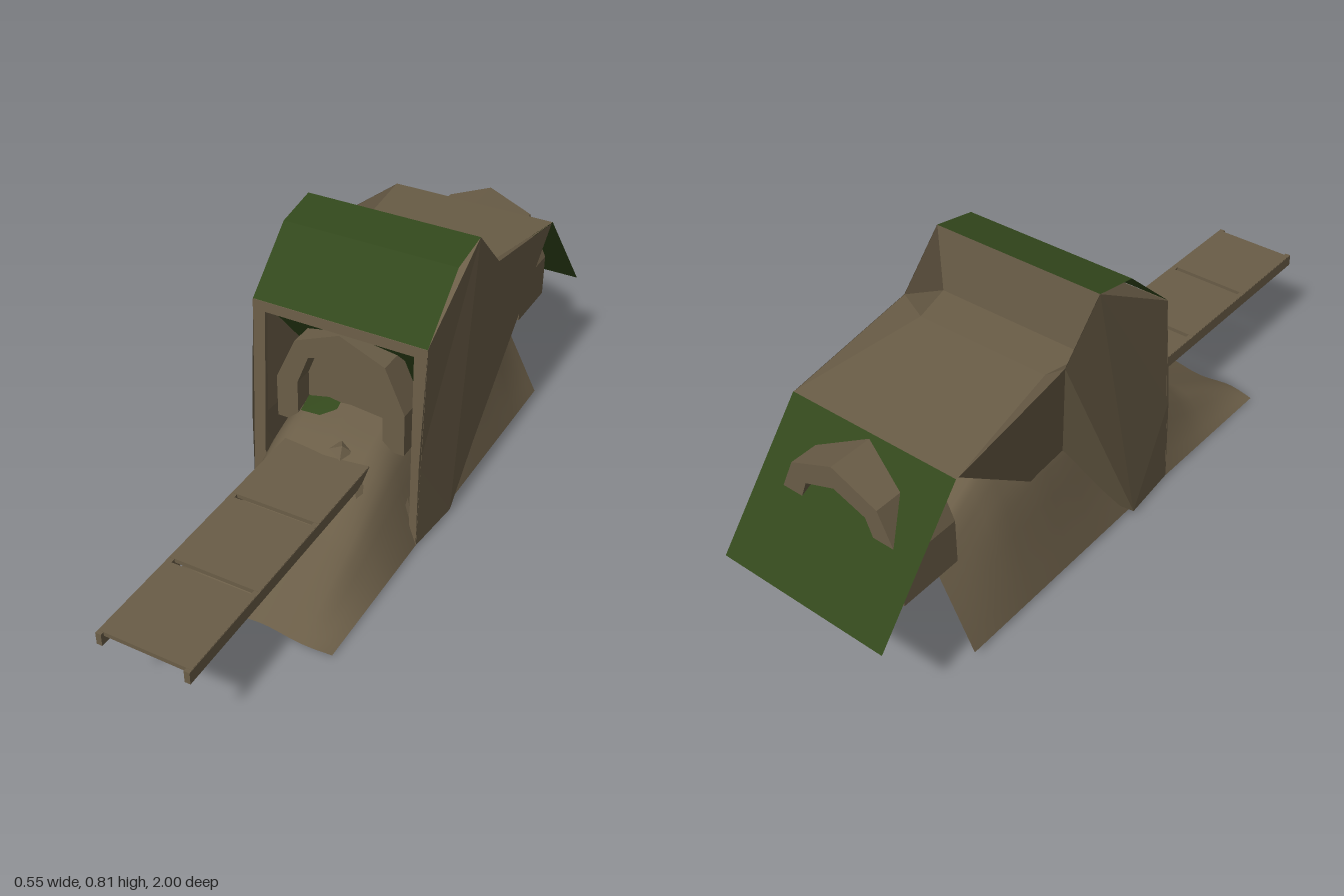
import * as THREE from 'three';

const brown = new THREE.MeshStandardMaterial({ color: 0x6a5d47, side: THREE.DoubleSide });
brown.name = 'earthBrown';
const green = new THREE.MeshStandardMaterial({ color: 0x32471c, side: THREE.DoubleSide });
green.name = 'canvasGreen';

const CX = 0.005; // the shelter sits slightly off the centre line

// Piecewise linear lookup through [input, output] pairs
function lookup(table, t) {
  for (let i = 1; i < table.length; i++) {
    const [a, va] = table[i - 1], [b, vb] = table[i];
    if (t <= b) return va + (vb - va) * Math.max(0, (t - a) / (b - a));
  }
  return table[table.length - 1][1];
}

function flatMesh(name, points, faces, mat) {
  const pos = faces.flat().flatMap((i) => points[i]);
  const geo = new THREE.BufferGeometry();
  geo.setAttribute('position', new THREE.Float32BufferAttribute(pos, 3));
  geo.computeVertexNormals();
  const m = new THREE.Mesh(geo, mat);
  m.name = name;
  return m;
}

// Folded sheet running through rows of [z, y, halfWidth], front to back
function sheet(name, rows, mat) {
  const pts = [], faces = [];
  rows.forEach(([z, y, w], i) => {
    pts.push([CX - w, y, z], [CX + w, y, z]);
    if (i) {
      const a = 2 * i - 2;
      faces.push([a, a + 1, a + 2], [a + 1, a + 3, a + 2]);
    }
  });
  return flatMesh(name, pts, faces, mat);
}

function box(name, x0, x1, y0, y1, z0, z1) {
  const m = new THREE.Mesh(new THREE.BoxGeometry(x1 - x0, y1 - y0, z1 - z0), brown);
  m.position.set((x0 + x1) / 2, (y0 + y1) / 2, (z0 + z1) / 2);
  m.name = name;
  return m;
}

// Earth mound: a height field with steep skirts, straighter sided at the rear
function mound() {
  const crest = [[-0.7, 0.27], [-0.5, 0.4], [-0.25, 0.39], [0, 0.33], [0.13, 0.285],
    [0.25, 0.2], [0.33, 0.14], [0.45, 0.08], [0.59, 0.01]];
  const section = [[0, 1], [0.5, 0.96], [0.68, 0.82], [0.76, 0.6], [0.87, 0.3], [1, 0]];
  const rearSection = [[0, 1], [0.48, 0.95], [1, 0]];
  const geo = new THREE.PlaneGeometry(0.515, 1.29, 28, 40).rotateX(-Math.PI / 2);
  geo.translate(CX, 0, -0.055);
  const p = geo.attributes.position;
  for (let i = 0; i < p.count; i++) {
    const x = p.getX(i), z = p.getZ(i);
    const front = Math.max(0, (z - 0.1) / 0.49);
    const rear = THREE.MathUtils.clamp((-z - 0.35) / 0.3, 0, 1);
    const u = Math.min(1, Math.abs(x - CX) / 0.2575);
    const f = THREE.MathUtils.lerp(lookup(section, u), lookup(rearSection, u), rear);
    const ripple = 0.007 * front * Math.sin(x * 26 + 0.2);
    p.setY(i, 0.013 + lookup(crest, z) * f + ripple - 0.01 * front);
  }
  geo.computeVertexNormals();
  const m = new THREE.Mesh(geo, brown);
  m.name = 'earthMound';
  return m;
}

// Side wall in (z, y, halfWidth), flaring at the ground; the -x side tucks in behind
function sideWall(s) {
  const outline = [[0.095, 0.63, 0.257], [0.125, 0.28, 0.257], [0.13, 0.012, 0.257],
    [-0.05, 0.015, 0.274], [-0.2, 0.15, s < 0 ? 0.14 : 0.268], [-0.72, 0.6, 0.257],
    [-0.335, 0.668, 0.257], [-0.2, 0.808, 0.257]];
  const faces = [[0, 1, 7], [1, 2, 3], [1, 3, 7], [3, 6, 7], [3, 4, 6], [4, 5, 6]];
  const pts = outline.map(([z, y, w]) => [CX + s * w, y, z]);
  return flatMesh('sideWall', pts, s > 0 ? faces.map(([a, b, c]) => [a, c, b]) : faces, brown);
}

// Flaps joining the roof cloth to the wall tops, and the inner lining
function innerFolds(s) {
  const P = (w, y, z) => [CX + s * w, y, z];
  const g = new THREE.Group();
  g.name = 'wallFolds';
  g.add(flatMesh('roofFlap', [P(0.256, 0.668, -0.335), P(0.2, 0.627, -0.34), P(0.256, 0.6, -0.72),
    P(0.23, 0.63, -0.22), P(0.256, 0.808, -0.2)], [[0, 1, 2], [0, 3, 1], [0, 4, 3]], brown));
  g.add(flatMesh('innerLining', [P(0.217, 0.6, 0.09), P(0.195, 0.62, -0.34),
    P(0.195, 0.3, -0.2), P(0.222, 0.28, 0.1)], [[0, 1, 2], [0, 2, 3]], brown));
  g.add(flatMesh('cornerFlare', [P(0.225, 0.16, 0.12), P(0.195, 0.06, 0.1),
    P(0.19, 0.012, 0.1), P(0.257, 0.012, 0.125)], [[0, 1, 3], [1, 2, 3]], brown));
  return g;
}

// Thin frame around the front opening, leaning with the wall edge
function frontFrame() {
  const s = new THREE.Shape([[-0.258, 0.63], [-0.258, 0.012], [-0.222, 0.012], [-0.22, 0.6],
    [0.22, 0.6], [0.235, 0.012], [0.258, 0.012], [0.258, 0.63]].map(([x, y]) => new THREE.Vector2(x + CX, y)));
  const geo = new THREE.ShapeGeometry(s);
  const p = geo.attributes.position;
  for (let i = 0; i < p.count; i++) p.setZ(i, 0.13 - 0.035 * p.getY(i) / 0.63);
  geo.computeVertexNormals();
  const m = new THREE.Mesh(geo, brown);
  m.name = 'frontFrame';
  return m;
}

const outer = [[0.195, 0.27], [0.195, 0.4], [0.135, 0.533], [0, 0.59]];
const inner = [[0.13, 0.27], [0.13, 0.4], [0.095, 0.49], [0, 0.525]];
const across = (half) => [...half, ...half.slice(0, -1).reverse().map(([x, y]) => [-x, y])]
  .map(([x, y]) => new THREE.Vector2(x + CX, y));

// Faceted arch band
function arch(name, z0, z1) {
  const shape = new THREE.Shape([...across(outer), ...across(inner).reverse()]);
  const geo = new THREE.ExtrudeGeometry(shape, { depth: z1 - z0, bevelEnabled: false });
  const m = new THREE.Mesh(geo, brown);
  m.position.z = z0;
  m.name = name;
  return m;
}

function rock(x, y, z, sx, sy, sz, turn) {
  const m = new THREE.Mesh(new THREE.OctahedronGeometry(1, 0), brown);
  m.scale.set(sx, sy, sz);
  m.rotation.set(0.3, turn, -0.3);
  m.position.set(x, y, z);
  m.name = 'rock';
  return m;
}

export function createModel() {
  const model = new THREE.Group();
  model.name = 'earthShelter';

  // Ground and shelter walls
  model.add(mound(), frontFrame());
  for (const s of [-1, 1]) model.add(sideWall(s), innerFolds(s));

  // Roof from front to back
  model.add(
    sheet('frontRoof', [[0.095, 0.631, 0.257], [-0.07, 0.784, 0.257], [-0.2, 0.808, 0.257]], green),
    sheet('roofLining', [[0.094, 0.629, 0.256], [-0.199, 0.805, 0.256]], brown),
    sheet('ridgeBack', [[-0.2, 0.808, 0.257], [-0.22, 0.63, 0.235]], brown),
    sheet('roofCloth', [[-0.22, 0.63, 0.235], [-0.34, 0.627, 0.2], [-0.728, 0.6, 0.257]], brown),
    sheet('rearCanopy', [[-0.728, 0.6, 0.257], [-1, 0.27, 0.257]], green),
  );

  // Entrance screen leaning back, with its arch and panel, and the rear arch
  model.add(sheet('entranceScreen', [[0.075, 0.6, 0.217], [-0.19, 0.27, 0.217]], green));
  const panel = new THREE.Mesh(new THREE.ShapeGeometry(new THREE.Shape(across(inner))), brown);
  panel.position.z = 0.03;
  panel.name = 'entrancePanel';
  model.add(panel, arch('entranceArch', 0, 0.09), arch('rearArch', -0.86, -0.675));

  // Small turf patch inside the entrance
  model.add(flatMesh('turfPatch', [[-0.12, 0.306, 0.085], [-0.06, 0.31, 0.085], [-0.02, 0.328, 0.06],
    [-0.02, 0.338, 0.04], [-0.055, 0.344, 0.04], [-0.12, 0.328, 0.04]],
  [[0, 1, 2], [0, 2, 3], [0, 3, 4], [0, 4, 5]], green));

  // Plank walkway on two rails
  const walkway = new THREE.Group();
  walkway.name = 'walkway';
  for (const [z0, z1] of [[0.16, 0.428], [0.442, 0.708], [0.722, 0.99]]) {
    walkway.add(box('plank', -0.123, 0.135, 0.25, 0.262, z0, z1));
  }
  for (const x of [-0.124, 0.12]) walkway.add(box('rail', x, x + 0.016, 0.226, 0.261, 0.16, 1));
  model.add(walkway);

  // Loose stones by the entrance
  model.add(
    rock(0.048, 0.28, 0.16, 0.032, 0.02, 0.035, 0.4),
    rock(0.118, 0.22, 0.22, 0.05, 0.026, 0.035, 0.7),
    rock(-0.052, 0.25, 0.19, 0.015, 0.009, 0.02, 0.2),
  );
  return model;
}
